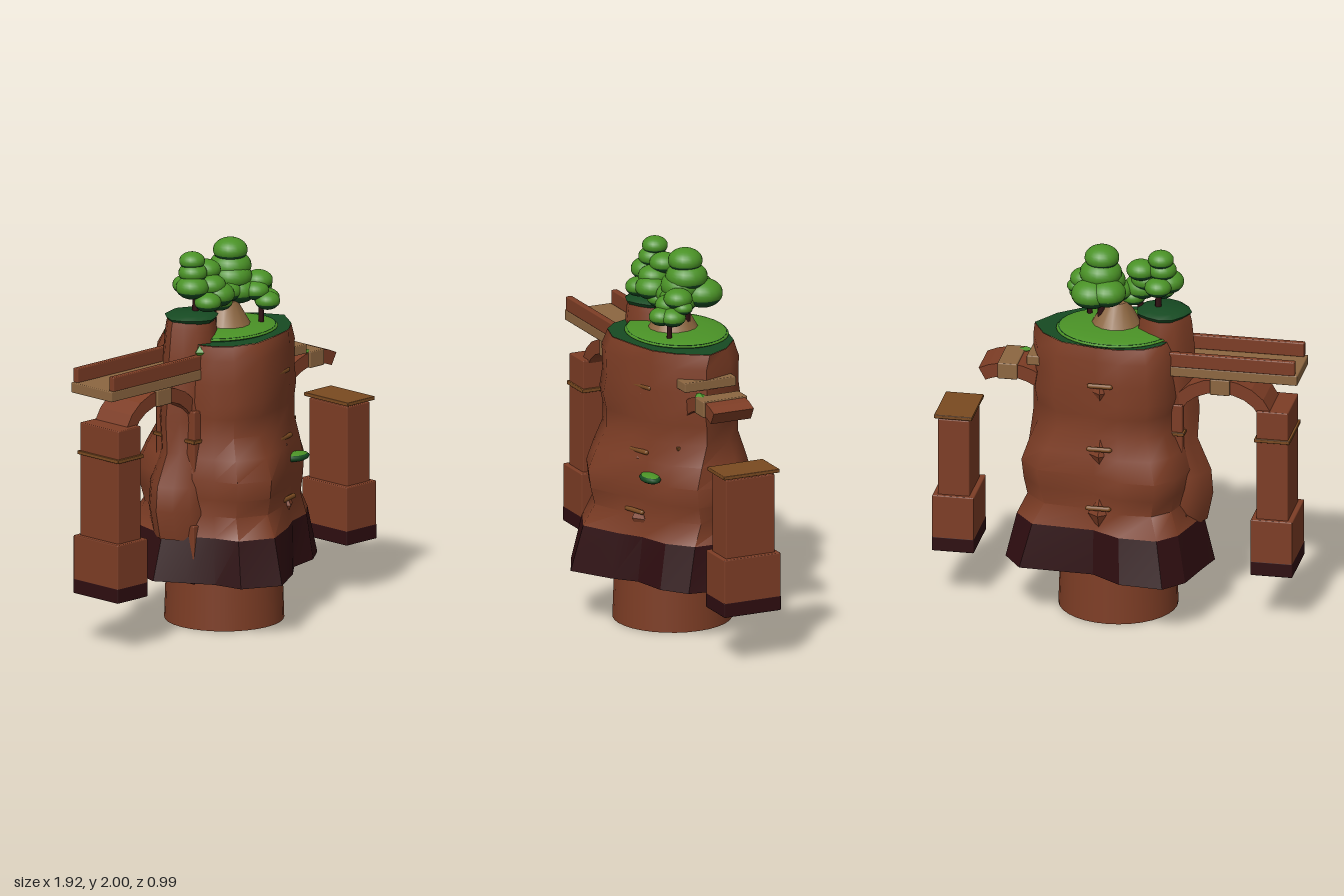
import * as THREE from 'three';
import { toCreasedNormals } from 'three/addons/utils/BufferGeometryUtils.js';
import { RoundedBoxGeometry } from 'three/addons/geometries/RoundedBoxGeometry.js';

const mat = (name, color, side = THREE.FrontSide) => {
  const m = new THREE.MeshStandardMaterial({ color, side });
  m.name = name;
  return m;
};

export function createModel() {
  const model = new THREE.Group();
  const rock = mat('red rock', 0x7d3d25, THREE.DoubleSide);
  const maroon = mat('dark maroon', 0x2e0d10, THREE.DoubleSide);
  const tan = mat('tan stone', 0x8c6640);
  const wood = mat('brown ledge', 0x7a4a20);
  const green = mat('leaf green', 0x4a9226);
  const darkGreen = mat('dark green', 0x164a22, THREE.DoubleSide);

  const add = (name, geo, material, x = 0, y = 0, z = 0, parent = model) => {
    const mesh = new THREE.Mesh(geo, material);
    mesh.name = name;
    mesh.position.set(x, y, z);
    parent.add(mesh);
    return mesh;
  };
  // box given by its extents
  const box = (name, material, x0, x1, y0, y1, z0, z1, parent = model, r = 0.006) =>
    add(name, new RoundedBoxGeometry(x1 - x0, y1 - y0, z1 - z0, 1, r), material,
      (x0 + x1) / 2, (y0 + y1) / 2, (z0 + z1) / 2, parent);

  // skin between rings of [x, y, z] points
  function loft(rings, crease) {
    const pos = [];
    for (let k = 0; k + 1 < rings.length; k++) {
      const lo = rings[k], up = rings[k + 1], n = lo.length;
      for (let i = 0; i < n; i++) {
        const j = (i + 1) % n;
        pos.push(...lo[i], ...up[i], ...lo[j], ...lo[j], ...up[i], ...up[j]);
      }
    }
    const g = new THREE.BufferGeometry();
    g.setAttribute('position', new THREE.Float32BufferAttribute(pos, 3));
    return toCreasedNormals(g, crease);
  }

  // butte: outline at the foot blends into the outline at the top
  const foot = [[-0.31, -0.5], [-0.08, -0.48], [0.08, -0.37], [0.47, -0.355], [0.57, -0.21], [0.53, 0.12],
    [0.4, 0.22], [0.22, 0.26], [0.11, 0.36], [-0.1, 0.49], [-0.3, 0.39], [-0.33, 0.23], [-0.41, 0.1],
    [-0.5, -0.05], [-0.46, -0.19], [-0.41, -0.39]];
  const top = [[-0.17, -0.29], [-0.04, -0.32], [0.08, -0.31], [0.26, -0.27], [0.38, -0.17], [0.45, -0.04],
    [0.36, 0.1], [0.25, 0.19], [0.12, 0.23], [-0.06, 0.27], [-0.2, 0.23], [-0.27, 0.16], [-0.3, 0.08],
    [-0.3, -0.03], [-0.29, -0.12], [-0.25, -0.22]];
  const ring = ([y, t]) => foot.map(([x, z], i) =>
    [x + (top[i][0] - x) * t, y, z + (top[i][1] - z) * t]);
  add('rockSkirt', loft([[0.28, 0], [0.52, 0.3]].map(ring), 0.35), maroon);
  add('rockBody', loft([[0.52, 0.3], [0.63, 0.58], [0.72, 0.48], [0.82, 0.42], [0.93, 0.62], [1.04, 0.86],
    [1.14, 0.86], [1.22, 0.78], [1.32, 0.86], [1.45, 0.84], [1.525, 1]].map(ring), 0.8), rock);
  add('rockBase', new THREE.CylinderGeometry(0.29, 0.31, 0.6, 32), rock, 0.01, 0.3, -0.04);

  // side column with its own cap
  const oval = (cx, y, cz, rx, rz, n = 12) => Array.from({ length: n }, (_, i) => {
    const a = i / n * Math.PI * 2, w = 1 + 0.05 * Math.sin(i * 2.4);
    return [cx + Math.cos(a) * rx * w, y, cz + Math.sin(a) * rz * w];
  });
  add('sideColumn', loft([[-0.28, 0.5, 0.17], [-0.3, 0.65, 0.18], [-0.3, 0.78, 0.17], [-0.26, 0.95, 0.14],
    [-0.26, 1.12, 0.15], [-0.25, 1.3, 0.14], [-0.235, 1.45, 0.15], [-0.235, 1.6, 0.135], [-0.235, 1.645, 0.125],
    [-0.235, 1.645, 0.001]].map(([x, y, r]) => oval(x, y, -0.04, r, r * 0.95)), 0.8), rock);
  add('columnGrass', loft([[1.63, 0.125], [1.65, 0.14], [1.668, 0.11], [1.672, 0.001]]
    .map(([y, r]) => oval(-0.23, y, -0.04, r, r)), 0.6), darkGreen);

  // plateau with grass and a pale knoll
  const shape = new THREE.Shape(top.map(([x, z]) => new THREE.Vector2(x, -z)));
  add('plateauMoss', new THREE.ShapeGeometry(shape).rotateX(-Math.PI / 2), darkGreen, 0, 1.527, 0);
  add('plateauRim', new THREE.CylinderGeometry(1, 0.97, 0.025, 28), darkGreen, 0.02, 1.533, -0.06).scale.set(0.3, 1, 0.25);
  add('plateauGrass', new THREE.SphereGeometry(1, 32, 8, 0, Math.PI * 2, 0, Math.PI / 2), green, 0.02, 1.535, -0.06)
    .scale.set(0.31, 0.035, 0.26);
  add('knoll', new THREE.CylinderGeometry(0.06, 0.14, 0.14, 14), tan, 0.02, 1.615, -0.04);

  // aqueduct piers
  const zc = -0.037;
  [-0.825, -0.27, 0.29, 0.85].forEach((x, i) => {
    const pier = new THREE.Group();
    pier.name = 'pier' + (i + 1);
    model.add(pier);
    const h = i === 3 ? 1.0 : 1.18;
    box('pierFoot', maroon, x - 0.111, x + 0.111, 0.27, 0.35, zc - 0.163, zc + 0.163, pier);
    box('pierBase', rock, x - 0.11, x + 0.11, 0.335, 0.58, zc - 0.162, zc + 0.162, pier);
    box('pierShaft', rock, x - 0.083, x + 0.083, 0.57, h, zc - 0.14, zc + 0.14, pier);
    const w = i === 3 ? 0.1 : 0.094;
    box('pierBand', wood, x - w, x + w, 1.01, 1.03, zc - (i === 3 ? 0.16 : 0.15), zc + (i === 3 ? 0.16 : 0.15), pier, 0.004);
  });

  // arches, the right one broken off
  function arch(name, cx, a0) {
    const pts = [], n = 10;
    for (const [rx, ry, flip] of [[0.28, 0.235, false], [0.215, 0.16, true]])
      for (let i = 0; i <= n; i++) {
        const f = (flip ? n - i : i) / n, a = a0 + (Math.PI - a0) * f;
        pts.push(new THREE.Vector2(cx + Math.cos(a) * rx, 1.1 + Math.sin(a) * ry));
      }
    const g = new THREE.ExtrudeGeometry(new THREE.Shape(pts), { depth: 0.23, bevelEnabled: false });
    add(name, g, rock, 0, 0, -0.16);
    box('keystone', tan, cx - 0.052, cx + 0.052, 1.25, 1.337, -0.172, 0.082);
  }
  arch('wholeArch', -0.548, 0);
  arch('brokenArch', 0.57, 1.0);

  // channel deck and its walls
  box('deck', tan, -0.96, -0.25, 1.345, 1.4, -0.19, 0.105);
  box('brokenDeck', tan, 0.22, 0.465, 1.345, 1.397, -0.185, 0.11);
  for (const z of [-0.19, 0.07]) box('channelWall', rock, -0.945, -0.26, 1.398, 1.475, z, z + 0.035);

  // ledges with pointed rock brackets, front and back
  for (const [x, z, lean, s] of [[0.18, 0.215, 0.3, 1], [0.05, -0.335, 0, -1]])
    for (const [y, out] of [[1.32, 0], [0.975, 0.02], [0.655, 0.045]]) {
      const ledge = add('ledge', new THREE.CapsuleGeometry(0.013, 0.11, 3, 8).rotateZ(Math.PI / 2), wood, x, y, z + s * out);
      ledge.rotation.y = lean;
      add('ledgeBracket', new THREE.OctahedronGeometry(1), rock, x, y - 0.04, z + s * (out - 0.03)).scale.set(0.06, 0.09, 0.045);
    }

  // moss patches
  add('mossShelf', new THREE.SphereGeometry(1, 14, 8), darkGreen, 0.28, 0.85, 0.22).scale.set(0.08, 0.024, 0.05);
  add('mossTop', new THREE.SphereGeometry(1, 14, 6, 0, Math.PI * 2, 0, 1), green, 0.28, 0.852, 0.22).scale.set(0.08, 0.025, 0.05);
  add('archMoss', new THREE.OctahedronGeometry(1), green, 0.51, 1.335, 0.045).scale.set(0.045, 0.016, 0.03);
  add('wallMoss', new THREE.OctahedronGeometry(1), green, -0.3, 1.49, 0.09).scale.set(0.03, 0.035, 0.03);

  // trees: flattened puffs, dark underneath
  const cut = Math.PI * 0.6;
  const puffTop = new THREE.SphereGeometry(1, 20, 10, 0, Math.PI * 2, 0, cut);
  const puffUnder = new THREE.SphereGeometry(1, 20, 6, 0, Math.PI * 2, cut, Math.PI - cut);
  function tree(name, trunks, puffs) {
    const g = new THREE.Group();
    g.name = name;
    model.add(g);
    for (const [x, z, y0, y1, r] of trunks)
      add('trunk', new THREE.CylinderGeometry(r * 0.7, r, y1 - y0, 8), maroon, x, (y0 + y1) / 2, z, g);
    for (const [x, y, z, r] of puffs) {
      add('leavesTop', puffTop, green, x, y, z, g).scale.set(r, r * 0.72, r);
      add('leavesUnder', puffUnder, darkGreen, x, y, z, g).scale.set(r, r * 0.72, r);
    }
  }
  tree('leftTree', [[-0.2, -0.04, 1.64, 1.9, 0.018], [-0.1, -0.01, 1.55, 1.8, 0.018]], [
    [-0.215, 1.935, -0.05, 0.067], [-0.22, 1.875, -0.04, 0.075], [-0.245, 1.805, -0.02, 0.085],
    [-0.11, 1.87, -0.05, 0.075], [-0.13, 1.8, 0.0, 0.08], [-0.2, 1.73, 0.05, 0.07],
    [-0.1, 1.75, 0.02, 0.09], [-0.06, 1.7, 0.0, 0.065], [-0.21, 1.8, -0.1, 0.07]]);
  tree('tallTree', [[0.09, -0.08, 1.54, 1.9, 0.025]], [
    [0.09, 1.935, -0.075, 0.09], [0.095, 1.85, -0.08, 0.11], [0.08, 1.8, -0.06, 0.11],
    [0.05, 1.77, -0.15, 0.1], [0.13, 1.76, -0.155, 0.105], [0.02, 1.74, -0.03, 0.08], [0.1, 1.73, -0.03, 0.1]]);
  tree('smallTree', [[0.18, 0.06, 1.54, 1.75, 0.015]], [
    [0.2, 1.77, 0.02, 0.075], [0.15, 1.73, 0.05, 0.07], [0.22, 1.68, 0.06, 0.068],
    [0.18, 1.68, 0.105, 0.066], [0.24, 1.73, 0.01, 0.05]]);
  return model;
}
